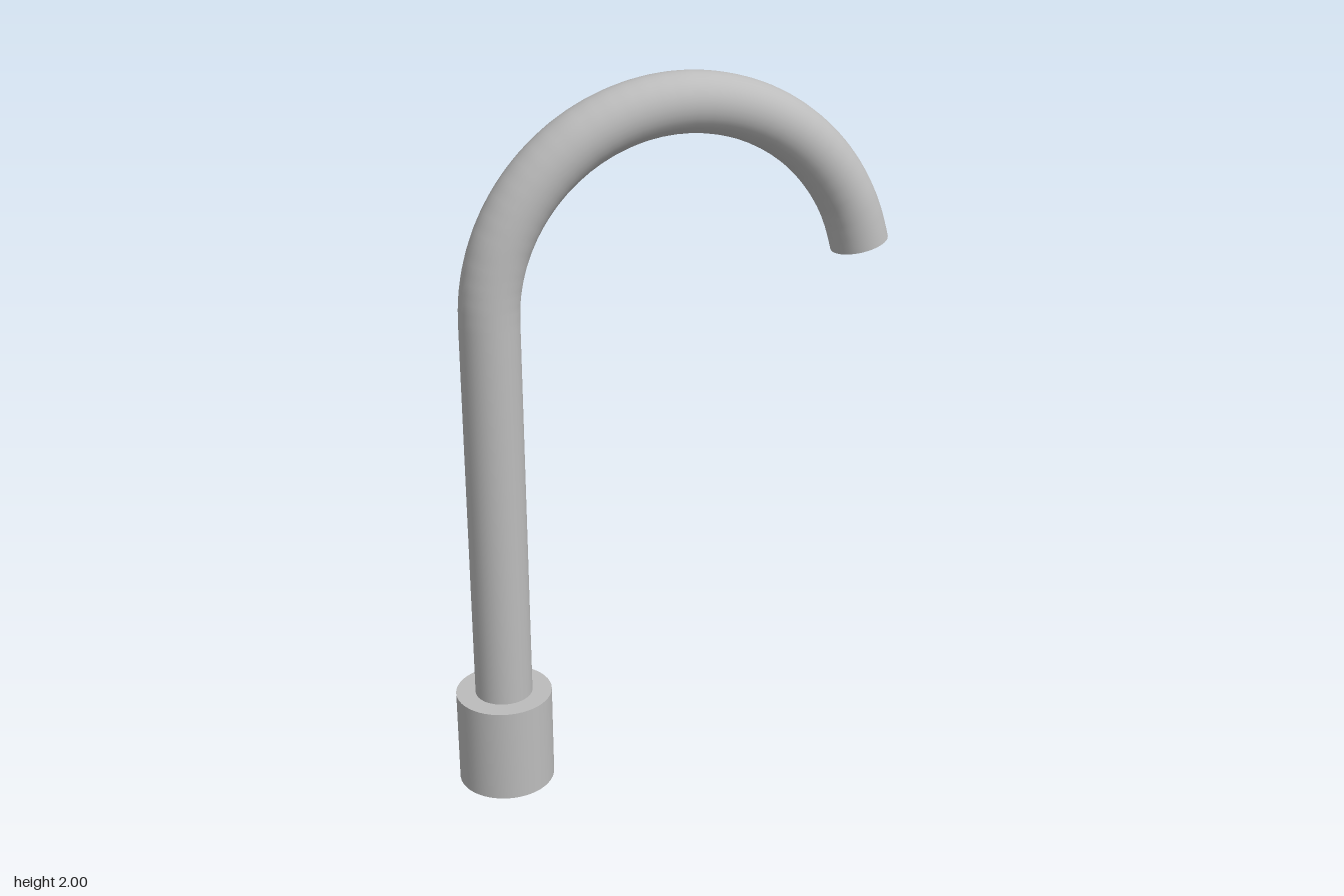
import * as THREE from 'three';

export function createModel() {
  const group = new THREE.Group();
  const metal = new THREE.MeshStandardMaterial({ color: 0xbcbcbc });
  metal.name = 'brushed metal grey';

  const X = -0.503, Z = 0.07; // axis of the base
  const PIPE = 0.081;         // pipe radius

  function add(name, geometry, x, y, z) {
    const mesh = new THREE.Mesh(geometry, metal);
    mesh.name = name;
    mesh.position.set(x, y, z);
    group.add(mesh);
    return mesh;
  }

  // Base body standing on the counter
  add('base', new THREE.CylinderGeometry(0.136, 0.136, 0.275, 48), X, 0.1375, Z);

  // Upright, hooked arch and short straight outlet as one continuous pipe
  const R = 0.534, cx = X + R, cy = 1.385, end = Math.PI / 12;
  const points = [new THREE.Vector3(X, 0.2, Z)];
  const path = new THREE.CurvePath();
  for (let i = 0; i <= 36; i++) {
    const a = Math.PI + (end - Math.PI) * i / 36;
    points.push(new THREE.Vector3(cx + R * Math.cos(a), cy + R * Math.sin(a), Z));
  }
  const direction = new THREE.Vector3(Math.sin(end), -Math.cos(end), 0);
  const tip = points[points.length - 1].clone().addScaledVector(direction, 0.03);
  points.push(tip);
  for (let i = 1; i < points.length; i++) {
    path.add(new THREE.LineCurve3(points[i - 1], points[i]));
  }
  add('spout', new THREE.TubeGeometry(path, 120, PIPE, 32, false), 0, 0, 0);

  // Flat cap closing the outlet
  const cap = add('outletCap', new THREE.CircleGeometry(PIPE, 32), tip.x, tip.y, tip.z);
  cap.quaternion.setFromUnitVectors(new THREE.Vector3(0, 0, 1), direction);

  // Handle knob behind the base, sloping down 30 degrees and widening outwards
  const axis = new THREE.Vector3(0, -0.5, -Math.cos(Math.PI / 6));
  const length = 0.2;
  const knob = add('handle', new THREE.CylinderGeometry(0.077, 0.068, length, 40),
    X - 0.006, 0.1 - axis.y * length / 2, -0.166 - axis.z * length / 2);
  knob.quaternion.setFromUnitVectors(new THREE.Vector3(0, 1, 0), axis);

  return group;
}
